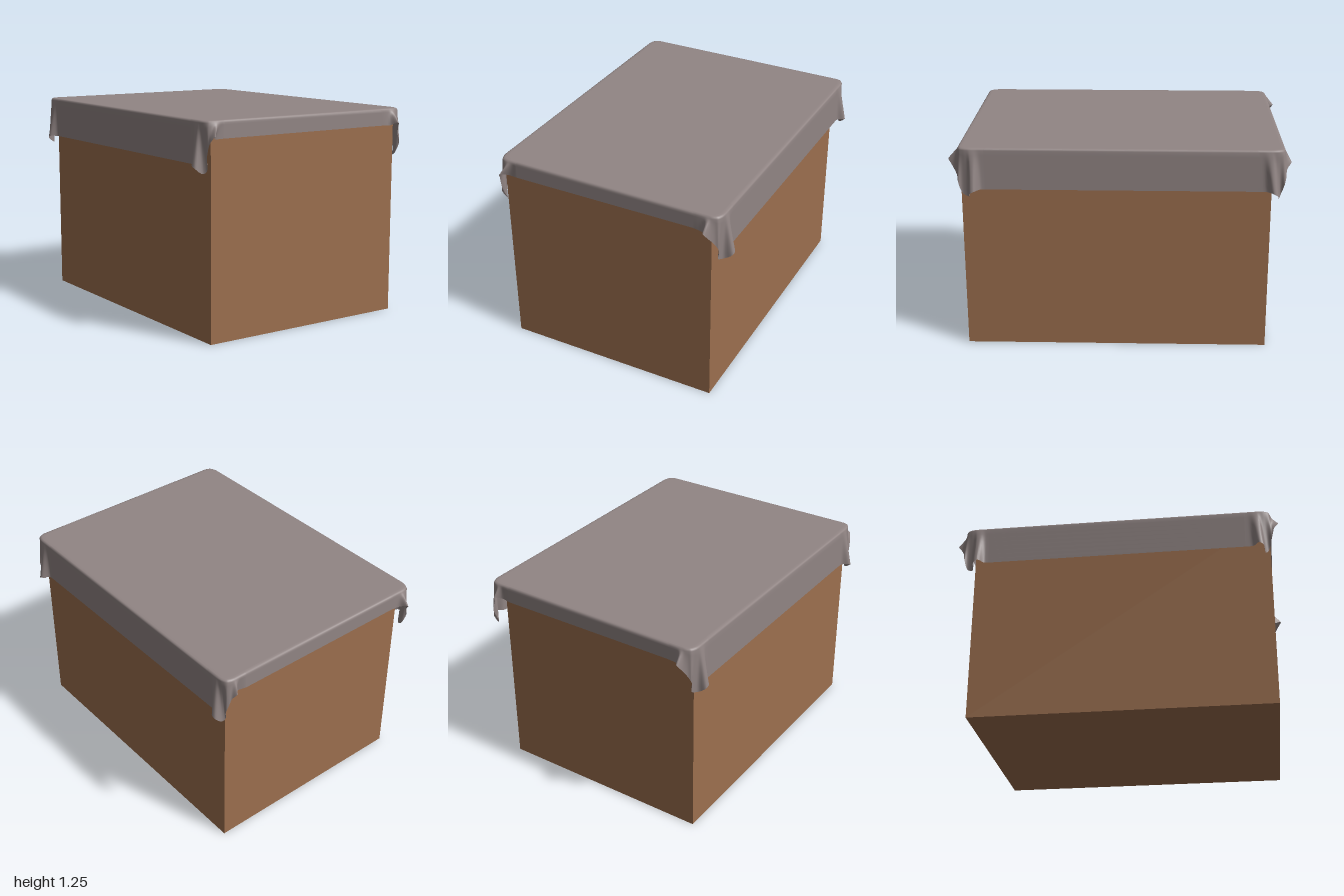
import * as THREE from 'three';

const V = (x, y, z) => new THREE.Vector3(x, y, z);
const TOP = 1.245, SAMPLES = 44, ROWS = 8;

// One draped corner, from the side panel round to the end panel.
// ex, ez: tip of the side fold; fx, fz: tip of the end fold.
function corner({ sx, sz, ex, ez, fx, fz }) {
  const hem = [
    V(0.71, 1.0, 0.78), V(0.715, 1.0, ez - 0.045), V(ex, 1.0, ez - 0.015),
    V(ex - 0.004, 0.985, ez + 0.012), V(0.705, 0.955, ez + 0.022), V(0.69, 0.97, 0.915),
    V(0.705, 1.04, 0.936), V((0.7 + fx) / 2 + 0.015, 1.08, 0.945), V(fx + 0.02, 1.125, fz - 0.025),
    V(fx, 1.165, fz), V(fx - 0.025, 1.145, fz - 0.045), V(fx - 0.09, 1.145, 0.94),
  ];
  const rim = [
    V(0.71, 0, 0.78), V(0.71, 0, 0.81), V(0.71, 0, 0.84), V(0.71, 0, 0.86),
    V(0.709, 0, 0.88), V(0.705, 0, 0.9), V(0.692, 0, 0.925), V(0.678, 0, 0.933),
    V(0.66, 0, 0.938), V(0.64, 0, 0.939), V(0.61, 0, 0.939), V(fx - 0.09, 0, 0.939),
  ];
  const hemCurve = new THREE.CatmullRomCurve3(hem, false, 'centripetal');
  const rimCurve = new THREE.CatmullRomCurve3(rim, false, 'centripetal');
  const flip = V(sx, 1, sz);
  const pairs = [];
  for (let i = 0; i <= SAMPLES; i++) {
    pairs.push({
      rim: rimCurve.getPoint(i / SAMPLES).multiply(flip),
      hem: hemCurve.getPoint(i / SAMPLES).multiply(flip),
    });
  }
  return sx * sz > 0 ? pairs : pairs.reverse();
}

// Cloth as loops: flat top, rounded rim, then rows falling to the hem
function clothGeometry() {
  const ring = [
    { sx: 1, sz: 1, ex: 0.757, ez: 0.855, fx: 0.635, fz: 0.998 },
    { sx: -1, sz: 1, ex: 0.753, ez: 0.875, fx: 0.68, fz: 0.982 },
    { sx: -1, sz: -1, ex: 0.753, ez: 0.855, fx: 0.64, fz: 0.993 },
    { sx: 1, sz: -1, ex: 0.75, ez: 0.885, fx: 0.655, fz: 0.975 },
  ].flatMap(corner);
  const n = ring.length;
  const pos = [], index = [];
  const addLoop = (fn) => ring.forEach((p) => pos.push(...fn(p).toArray()));
  addLoop(({ rim }) => V(rim.x * 0.96, TOP, rim.z * 0.97));
  addLoop(({ rim }) => V(rim.x * 0.983, TOP, rim.z * 0.987));
  addLoop(({ rim }) => V(rim.x * 0.995, TOP - 0.004, rim.z * 0.996));
  for (let r = 0; r <= ROWS; r++) {
    const t = r / ROWS;
    addLoop(({ rim, hem }) => V(rim.x, TOP - 0.013, rim.z).lerp(hem, t));
  }
  for (let r = 0; r < ROWS + 3; r++) {
    for (let i = 0; i < n; i++) {
      const j = (i + 1) % n;
      const a = r * n + i, b = r * n + j, c = a + n, d = b + n;
      index.push(a, b, c, b, d, c);
    }
  }
  const mid = pos.length / 3;
  pos.push(0, TOP, 0);
  for (let i = 0; i < n; i++) index.push(mid, (i + 1) % n, i);
  const geo = new THREE.BufferGeometry();
  geo.setAttribute('position', new THREE.Float32BufferAttribute(pos, 3));
  geo.setIndex(index);
  geo.computeVertexNormals();
  return geo;
}

export function createModel() {
  const model = new THREE.Group();
  model.name = 'coveredBox';

  const brown = new THREE.MeshStandardMaterial({ color: 0x9c6f4e });
  brown.name = 'box brown';
  const grey = new THREE.MeshStandardMaterial({ color: 0x918584, side: THREE.DoubleSide });
  grey.name = 'cloth grey';

  // Solid box, slightly off centre under the cloth
  const box = new THREE.Mesh(new THREE.BoxGeometry(1.33, 1.215, 1.797), brown);
  box.name = 'box';
  box.position.set(-0.013, 0.6075, 0.026);
  model.add(box);

  // Draped cloth with folded corners
  const cloth = new THREE.Mesh(clothGeometry(), grey);
  cloth.name = 'cloth';
  cloth.position.set(-0.004, 0, -0.003);
  model.add(cloth);

  return model;
}
